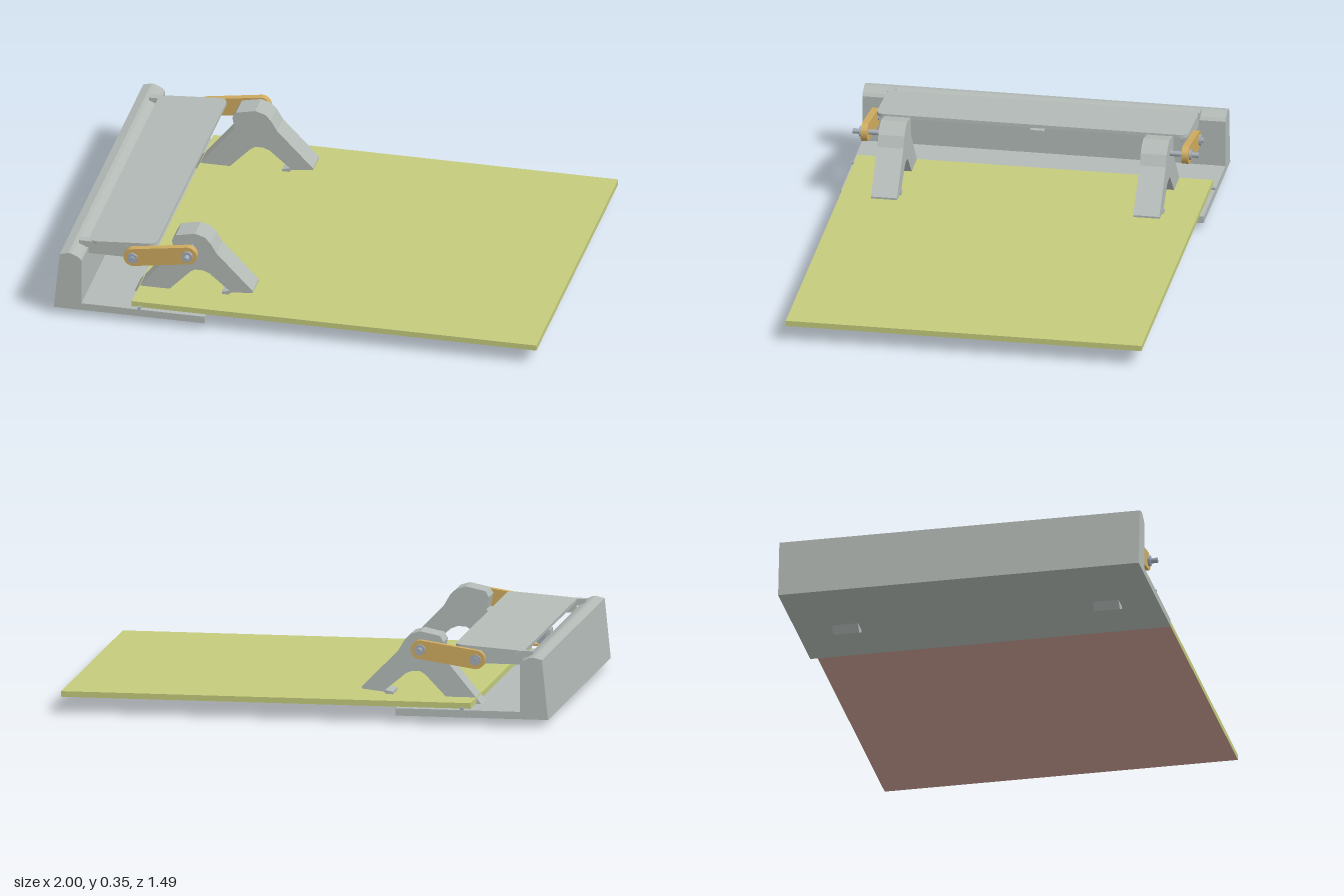
import * as THREE from 'three';

const paint = (name, color) => {
  const m = new THREE.MeshStandardMaterial({ color });
  m.name = name;
  return m;
};

export function createModel() {
  const model = new THREE.Group();
  model.name = 'hingedClampBoard';
  const grey = paint('lightGrey', 0xb3bab6);
  const steel = paint('steel', 0xa3abb4);
  const olive = paint('oliveGreen', 0xc4cb7c);
  const brown = paint('pinkBrown', 0xc89e92);
  const ochre = paint('ochre', 0xcfac60);

  const add = (name, geometry, material, parent = model) => {
    const mesh = new THREE.Mesh(geometry, material);
    mesh.name = name;
    parent.add(mesh);
    return mesh;
  };
  // Box given by its limits on each axis
  const box = (name, x0, x1, y0, y1, z0, z1, material, parent) => {
    const mesh = add(name, new THREE.BoxGeometry(x1 - x0, y1 - y0, z1 - z0), material, parent);
    mesh.position.set((x0 + x1) / 2, (y0 + y1) / 2, (z0 + z1) / 2);
    return mesh;
  };
  // Side profile extruded from z0 to z1
  const profile = (name, shape, z0, z1, material, parent) => {
    const g = new THREE.ExtrudeGeometry(shape, { depth: z1 - z0, bevelEnabled: false, curveSegments: 10 });
    g.translate(0, 0, z0);
    return add(name, g, material, parent);
  };
  const polygon = (pts) => new THREE.Shape(pts.map(([x, y]) => new THREE.Vector2(x, y)));
  // Round pin along z
  const pin = (name, x, y, r, z0, z1, material, parent, sides = 20) => {
    const g = new THREE.CylinderGeometry(r, r, z1 - z0, sides);
    g.rotateX(Math.PI / 2);
    const mesh = add(name, g, material, parent);
    mesh.position.set(x, y, (z0 + z1) / 2);
    return mesh;
  };

  // Base plate and rear wall in one section
  profile('base', polygon([
    [-1, 0.03], [-0.375, 0.03], [-0.375, 0.06], [-0.885, 0.06], [-0.885, 0.255],
    [-0.895, 0.268], [-0.925, 0.282], [-0.94, 0.284], [-0.975, 0.275],
  ]), -0.745, 0.745, grey);

  // Board with a differently coloured underside
  const board = box('board', -0.68, 1, 0.064, 0.087, -0.73, 0.73, [olive, olive, olive, brown, olive, olive]);
  board.position.z = 0;

  // Thin, slightly tilted cover with rounded corners
  const L = 0.285, W = 0.64, r = 0.04;
  const cover = new THREE.Shape();
  cover.moveTo(r, -W);
  cover.lineTo(L - r, -W);
  cover.quadraticCurveTo(L, -W, L, -W + r);
  cover.lineTo(L, W - r);
  cover.quadraticCurveTo(L, W, L - r, W);
  cover.lineTo(r, W);
  cover.quadraticCurveTo(0, W, 0, W - r);
  cover.lineTo(0, -W + r);
  cover.quadraticCurveTo(0, -W, r, -W);
  const coverGeo = new THREE.ExtrudeGeometry(cover, { depth: 0.014, bevelEnabled: false, curveSegments: 8 });
  coverGeo.rotateX(-Math.PI / 2);
  const plate = add('coverPlate', coverGeo, grey);
  plate.position.set(-0.882, 0.278, 0);
  plate.rotation.z = 0.07;

  // Arched arm: peak, front foot with toe, rear leg passing through the base
  const arm = polygon([
    [-0.7, 0.06], [-0.535, 0.26], [-0.545, 0.31], [-0.53, 0.335], [-0.45, 0.352], [-0.41, 0.34],
    [-0.385, 0.315], [-0.36, 0.272], [-0.21, 0.118], [-0.21, 0.11], [-0.3, 0.1], [-0.31, 0.09],
    [-0.338, 0.09], [-0.338, 0.1], [-0.305, 0.107], [-0.39, 0.178], [-0.415, 0.188], [-0.45, 0.188],
    [-0.47, 0.175], [-0.6, 0.04], [-0.6, 0.02], [-0.645, 0], [-0.675, 0.035],
  ]);

  // Capsule outline for the link between its two pivots
  const rear = [-0.69, 0.255], front = [-0.462, 0.29], R = 0.038;
  const a = Math.atan2(front[1] - rear[1], front[0] - rear[0]);
  const link = new THREE.Shape();
  link.absarc(front[0], front[1], R, a - Math.PI / 2, a + Math.PI / 2, false);
  link.absarc(rear[0], rear[1], R, a + Math.PI / 2, a + Math.PI * 1.5, false);
  link.closePath();

  for (const s of [1, -1]) {
    const side = new THREE.Group();
    side.name = s > 0 ? 'leftMechanism' : 'rightMechanism';
    model.add(side);
    const z = (p, q) => (s > 0 ? [p, q] : [-q, -p]);
    profile('arm', arm, ...z(0.485, 0.592), grey, side);
    profile('link', link, ...z(0.645, 0.672), ochre, side);
    pin('axle', ...front, 0.011, ...z(0.58, 0.71), steel, side);
    pin('axleCollar', ...front, 0.022, ...z(0.672, 0.682), steel, side);
    pin('rearPivot', ...rear, 0.011, ...z(0.6, 0.69), steel, side);
    pin('rearPivotNut', ...rear, 0.024, ...z(0.672, 0.682), steel, side, 6);
    // Cheek under the cover end, with a hinge tab at the wall
    box('coverCheek', -0.88, -0.66, 0.236, 0.288, ...z(0.608, 0.638), grey, side);
    box('hingeTab', -0.92, -0.87, 0.265, 0.292, ...z(0.61, 0.642), grey, side);
    box('boardStop', -0.652, -0.64, 0.06, 0.07, ...z(0.73, 0.745), steel, side);
  }

  // Small catch in the middle of the rear wall
  const latch = new THREE.Group();
  latch.name = 'catch';
  model.add(latch);
  box('catchBack', -0.885, -0.868, 0.22, 0.275, -0.04, 0.04, grey, latch);
  box('catchShelf', -0.885, -0.72, 0.225, 0.233, -0.028, 0.028, grey, latch);
  box('catchStrip', -0.875, -0.775, 0.203, 0.211, -0.013, 0.013, ochre, latch);
  for (const x of [-0.84, -0.8]) {
    const post = add('catchPin', new THREE.CylinderGeometry(0.006, 0.006, 0.07, 12), steel, latch);
    post.position.set(x, 0.24, 0);
  }
  for (const zc of [-0.034, 0.034]) {
    box('catchSide', -0.885, -0.83, 0.22, 0.275, zc - 0.005, zc + 0.005, steel, latch);
  }

  return model;
}
